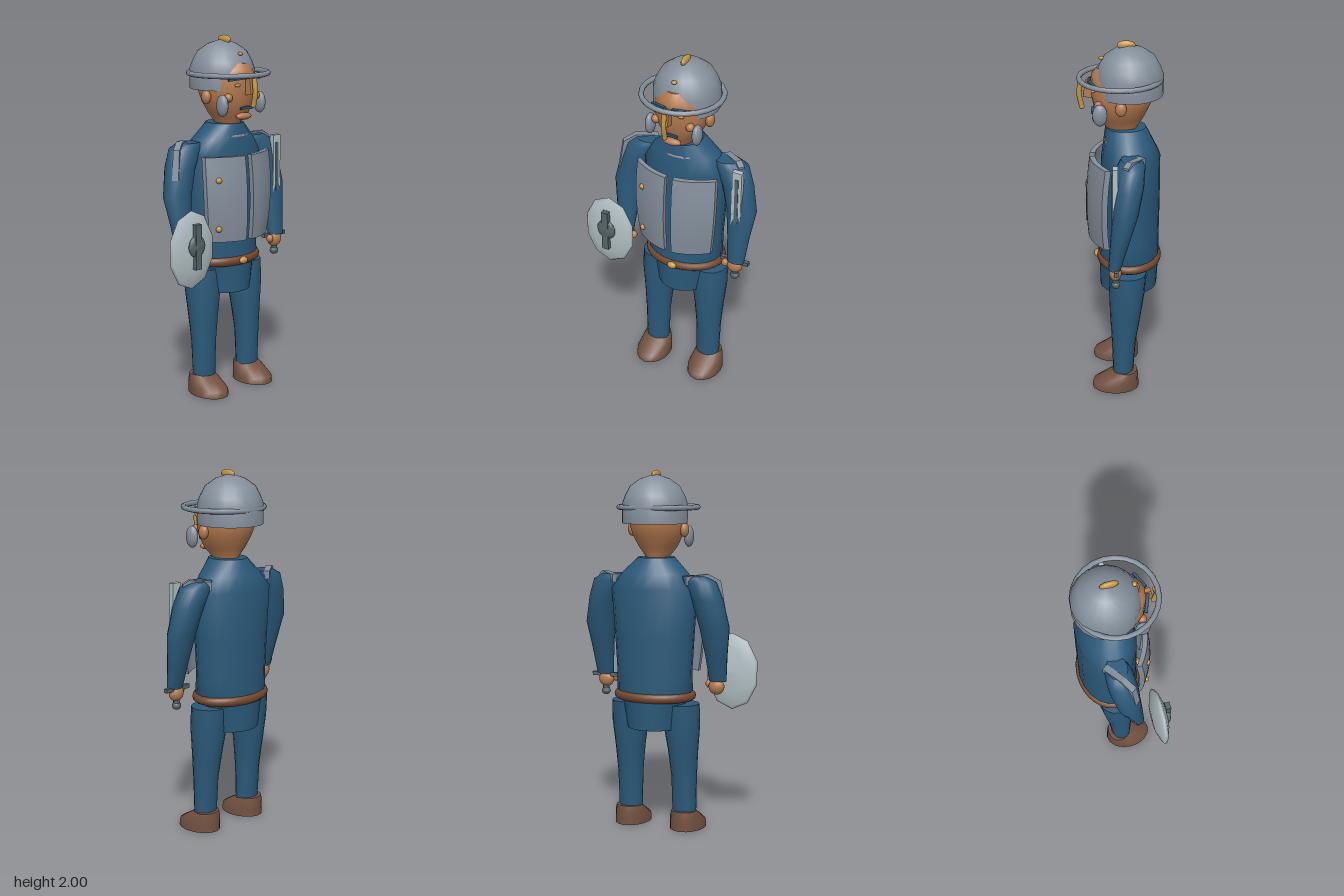
import * as THREE from 'three';
import { toCreasedNormals } from 'three/addons/utils/BufferGeometryUtils.js';

const CX = 0.05; // body centre line

const mat = (name, color, double) => {
  const m = new THREE.MeshStandardMaterial({ color });
  m.name = name;
  if (double) m.side = THREE.DoubleSide;
  return m;
};

// Stack of horizontal ellipses, bottom to top: [y, x, rx, z, rz]
function loft(rings, n = 16) {
  const pos = [], idx = [];
  const put = ([y, x, rx, z, rz], j) => {
    const a = (j / n) * Math.PI * 2;
    pos.push(x + rx * Math.cos(a), y, z + rz * Math.sin(a));
  };
  rings.forEach(r => { for (let j = 0; j < n; j++) put(r, j); });
  for (let i = 0; i < rings.length - 1; i++) {
    for (let j = 0; j < n; j++) {
      const a = i * n + j, b = i * n + (j + 1) % n;
      idx.push(a, a + n, b, b, a + n, b + n);
    }
  }
  [rings[0], rings[rings.length - 1]].forEach((r, top) => {
    const c = pos.length / 3;
    pos.push(r[1], r[0], r[3]);
    for (let j = 0; j < n; j++) put(r, j);
    for (let j = 0; j < n; j++) {
      const a = c + 1 + j, b = c + 1 + (j + 1) % n;
      if (top) idx.push(c, b, a); else idx.push(c, a, b);
    }
  });
  const g = new THREE.BufferGeometry();
  g.setAttribute('position', new THREE.Float32BufferAttribute(pos, 3));
  g.setIndex(idx);
  g.computeVertexNormals();
  return g;
}

export function createModel() {
  const root = new THREE.Group();
  root.name = 'guard';
  const blue = mat('blue cloth', 0x2b5a7a);
  const steel = mat('steel', 0x848f9b);
  const pale = mat('pale steel', 0xb2c0c4);
  const dark = mat('dark steel', 0x566469);
  const skin = mat('skin', 0xb57b4f);
  const gold = mat('gold', 0xc39640);
  const leather = mat('belt leather', 0x74492f);
  const boot = mat('boot leather', 0x725140);

  const add = (name, geo, m, x = 0, y = 0, z = 0) => {
    const mesh = new THREE.Mesh(geo, m);
    mesh.name = name;
    mesh.position.set(x, y, z);
    root.add(mesh);
    return mesh;
  };
  const ball = (name, m, x, y, z, rx, ry = rx, rz = rx) =>
    add(name, new THREE.SphereGeometry(1, 14, 10).scale(rx, ry, rz), m, x, y, z);
  const box = (name, m, x, y, z, w, h, d) => add(name, new THREE.BoxGeometry(w, h, d), m, x, y, z);

  // Tunic
  add('tunic', loft([
    [0.58, CX, 0.155, -0.047, 0.158], [0.72, CX, 0.18, -0.05, 0.163], [0.78, CX, 0.218, -0.05, 0.165],
    [0.9, CX, 0.217, -0.055, 0.16], [1.1, CX, 0.23, -0.055, 0.163], [1.36, CX, 0.25, -0.058, 0.16],
    [1.44, CX, 0.19, -0.045, 0.135], [1.525, CX, 0.1, -0.03, 0.11],
  ], 20), blue);
  add('collar', new THREE.TorusGeometry(1, 0.11, 8, 24).rotateX(Math.PI / 2).scale(0.14, 0.11, 0.118), steel, CX, 1.455, -0.04);

  // Belt and buckle
  add('belt', new THREE.TorusGeometry(0.21, 0.026, 10, 32).rotateX(Math.PI / 2).scale(1, 1, 0.76), leather, CX, 0.762, -0.05);
  ball('buckle', gold, CX, 0.763, 0.128, 0.028, 0.02, 0.018);

  // Chest plates: curved bands extruded downward, then bulged and tapered
  for (const s of [-1, 1]) {
    const curve = t => [0.022 + 0.213 * t, 0.165 - 1.6 * (0.022 + 0.213 * t) ** 2];
    const pts = [];
    for (let i = 0; i <= 6; i++) { const [x, z] = curve(i / 6); pts.push(new THREE.Vector2(s * x, z)); }
    for (let i = 6; i >= 0; i--) { const [x, z] = curve(i / 6); pts.push(new THREE.Vector2(s * x, z - 0.03)); }
    const g = new THREE.ExtrudeGeometry(new THREE.Shape(pts), { depth: 0.47, steps: 6, bevelEnabled: false });
    g.rotateX(Math.PI / 2);
    const p = g.attributes.position;
    for (let i = 0; i < p.count; i++) {
      const t = -p.getY(i) / 0.47;
      p.setX(i, p.getX(i) * (1 + 0.2 * t * (1 - t) - 0.08 * t));
      p.setZ(i, p.getZ(i) + 0.06 * t * (1 - t) + 0.01 * t);
    }
    add(s < 0 ? 'rightChestPlate' : 'leftChestPlate', toCreasedNormals(g, 0.6), steel, CX, 1.36, 0);
  }
  for (const y of [1.235, 0.965]) ball('rivet', gold, -0.13, y, 0.125, 0.017);

  // Paired limbs, mirrored across the centre line
  for (const s of [-1, 1]) {
    const side = s < 0 ? 'right' : 'left';
    const X = d => CX + s * d;
    add(side + 'Leg', loft([
      [0.08, X(0.165), 0.068, -0.018, 0.056], [0.3, X(0.165), 0.072, -0.022, 0.068],
      [0.45, X(0.162), 0.084, -0.03, 0.085], [0.6, X(0.157), 0.103, -0.038, 0.099],
      [0.72, X(0.158), 0.1, -0.045, 0.1],
    ]), blue);
    add(side + 'Boot', loft([
      [0, X(0.17), 0.098, 0.025, 0.132], [0.035, X(0.17), 0.097, 0.023, 0.128],
      [0.075, X(0.17), 0.087, -0.01, 0.094], [0.108, X(0.17), 0.073, -0.035, 0.062],
    ]), boot);
    add(side + 'Arm', loft([
      [0.845, X(0.345), 0.049, 0.028, 0.034], [1.0, X(0.345), 0.064, 0.0, 0.052],
      [1.15, X(0.345), 0.085, -0.028, 0.068], [1.3, X(0.31), 0.088, -0.046, 0.08],
      [1.4, X(0.265), 0.098, -0.058, 0.075], [1.43, X(0.235), 0.07, -0.06, 0.055],
    ]), blue);
    ball(side + 'Hand', skin, X(0.338), 0.815, 0.025, 0.046, 0.045, 0.034);
    ball(side + 'Thumb', skin, X(0.287), 0.825, 0.042, 0.02, 0.024, 0.02);

    // Bent shoulder plate running from inner back to outer front
    const outline = s < 0
      ? [[0, 1.43], [0.126, 1.442], [0.195, 1.405], [0.222, 1.245], [0.19, 1.245], [0.135, 1.37], [0, 1.385]]
      : [[0, 1.43], [0.12, 1.442], [0.155, 1.42], [0.155, 1.37], [0, 1.385]];
    const plate = new THREE.ExtrudeGeometry(new THREE.Shape(outline.map(p => new THREE.Vector2(...p))),
      { depth: 0.035, bevelEnabled: false }).translate(0, 0, -0.0175);
    add(side + 'ShoulderPlate', plate, steel, X(0.21), 0, -0.12).rotation.y = Math.atan2(-0.585, s * 0.81);

    // Paired head details
    ball(side + 'Ear', skin, X(0.157), 1.675, -0.005, 0.024, 0.04, 0.03);
    ball(side + 'Cheek', skin, X(0.1), 1.675, 0.112, 0.024);
    ball(side + 'CheekGuard', steel, X(0.137), 1.635, 0.105, 0.026, 0.06, 0.04);
    ball(side + 'Eye', gold, X(0.06), 1.742, 0.142, 0.019, 0.009, 0.01);
    const brow = box(side + 'Brow', blue, X(0.066), 1.777, 0.145, 0.1, 0.014, 0.016);
    brow.rotation.set(0, s * 0.38, s * -0.1);
    box(side + 'Moustache', blue, X(0.02), 1.617, 0.146, 0.042, 0.013, 0.014).rotation.z = s * -0.12;
  }

  // Head
  add('head', loft([
    [1.48, CX, 0.06, -0.015, 0.08], [1.53, CX, 0.065, -0.008, 0.086], [1.58, CX, 0.103, -0.003, 0.123],
    [1.64, CX, 0.135, -0.008, 0.148], [1.7, CX, 0.15, -0.015, 0.168], [1.78, CX, 0.148, -0.015, 0.17],
    [1.82, CX, 0.115, -0.01, 0.162], [1.855, CX, 0.08, 0, 0.125],
  ], 20), skin);
  ball('mouth', skin, CX, 1.57, 0.125, 0.054, 0.02, 0.024);
  box('nose', skin, CX, 1.735, 0.165, 0.024, 0.09, 0.05).rotation.x = -0.15;

  // Helmet shell, brim ring, crest and nose guard
  const profile = [[0.1, 1.71], [0.18, 1.71], [0.181, 1.815], [0.165, 1.86], [0.137, 1.912], [0.08, 1.952], [0, 1.978]];
  const shell = new THREE.LatheGeometry(profile.map(p => new THREE.Vector2(...p)), 20);
  add('helmet', toCreasedNormals(shell, 0.8), steel, CX, 0, -0.05);
  add('brimRing', new THREE.TorusGeometry(0.218, 0.0145, 8, 24).rotateX(Math.PI / 2), steel, CX, 1.797, 0);
  ball('crest', gold, CX, 1.974, -0.032, 0.016, 0.025, 0.05);
  ball('helmetStud', gold, CX, 1.905, 0.098, 0.015, 0.01, 0.014);
  const guardCurve = new THREE.CatmullRomCurve3([
    new THREE.Vector3(0, 1.775, 0.208), new THREE.Vector3(0, 1.71, 0.217), new THREE.Vector3(0, 1.635, 0.203),
  ]);
  add('noseGuard', new THREE.TubeGeometry(guardCurve, 8, 0.014, 8), gold, CX);
  ball('noseGuardTop', gold, CX, 1.775, 0.208, 0.014);
  ball('noseGuardTip', gold, CX, 1.635, 0.203, 0.014);

  // Shield: ten-sided lens with a boss and bar
  const lens = [[0, -0.04], [0.09, -0.032], [0.145, -0.012], [0.155, 0], [0.145, 0.014], [0.09, 0.034], [0, 0.043]];
  const disc = new THREE.LatheGeometry(lens.map(p => new THREE.Vector2(...p)), 10)
    .rotateX(Math.PI / 2).rotateZ(Math.PI).scale(1, 1.39, 1);
  add('shield', disc, pale, -0.338, 0.887, 0.137);
  ball('shieldBoss', dark, -0.336, 0.915, 0.181, 0.057, 0.06, 0.02);
  box('shieldBar', dark, -0.336, 0.913, 0.185, 0.04, 0.245, 0.028);

  // Sword held upright against the arm
  box('blade', pale, 0.39, 1.13, 0.024, 0.055, 0.585, 0.03);
  box('fuller', dark, 0.39, 1.21, 0.0405, 0.02, 0.34, 0.005);
  box('swordGuard', dark, 0.387, 0.842, 0.02, 0.165, 0.022, 0.024);
  add('grip', new THREE.CylinderGeometry(0.018, 0.018, 0.1, 10), dark, 0.39, 0.79, 0.022);
  ball('pommel', dark, 0.39, 0.745, 0.022, 0.026, 0.023, 0.024);

  return root;
}
